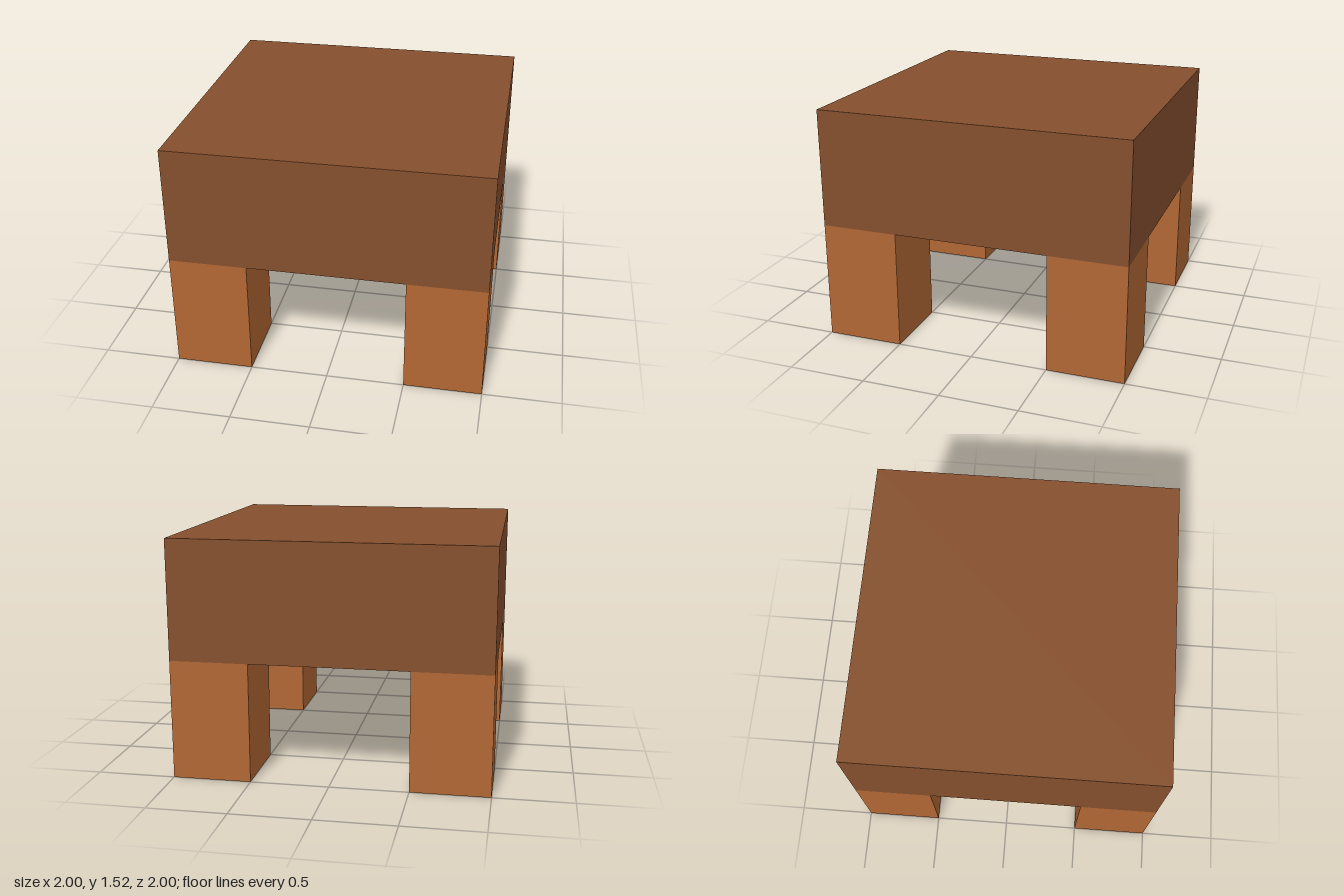
import * as THREE from 'three';

export function createModel() {
  const model = new THREE.Group();
  model.name = 'stool';

  const darkWood = new THREE.MeshStandardMaterial({ color: 0x854f2d });
  darkWood.name = 'dark wood';
  const lightWood = new THREE.MeshStandardMaterial({ color: 0xb26734 });
  lightWood.name = 'light wood';

  const width = 2;
  const height = 1.525;
  const legHeight = 0.763;
  const legWidth = 0.5;

  // Thick square seat
  const seatHeight = height - legHeight;
  const seat = new THREE.Mesh(new THREE.BoxGeometry(width, seatHeight, width), darkWood);
  seat.name = 'seat';
  seat.position.y = legHeight + seatHeight / 2;
  model.add(seat);

  // Four square legs, flush with the seat corners
  const legGeometry = new THREE.BoxGeometry(legWidth, legHeight, legWidth);
  const offset = (width - legWidth) / 2;
  for (const [xName, x] of [['Left', 1], ['Right', -1]]) {
    for (const [zName, z] of [['front', 1], ['back', -1]]) {
      const leg = new THREE.Mesh(legGeometry, lightWood);
      leg.name = `${zName}${xName}Leg`;
      leg.position.set(x * offset, legHeight / 2, z * offset);
      model.add(leg);
    }
  }

  return model;
}
